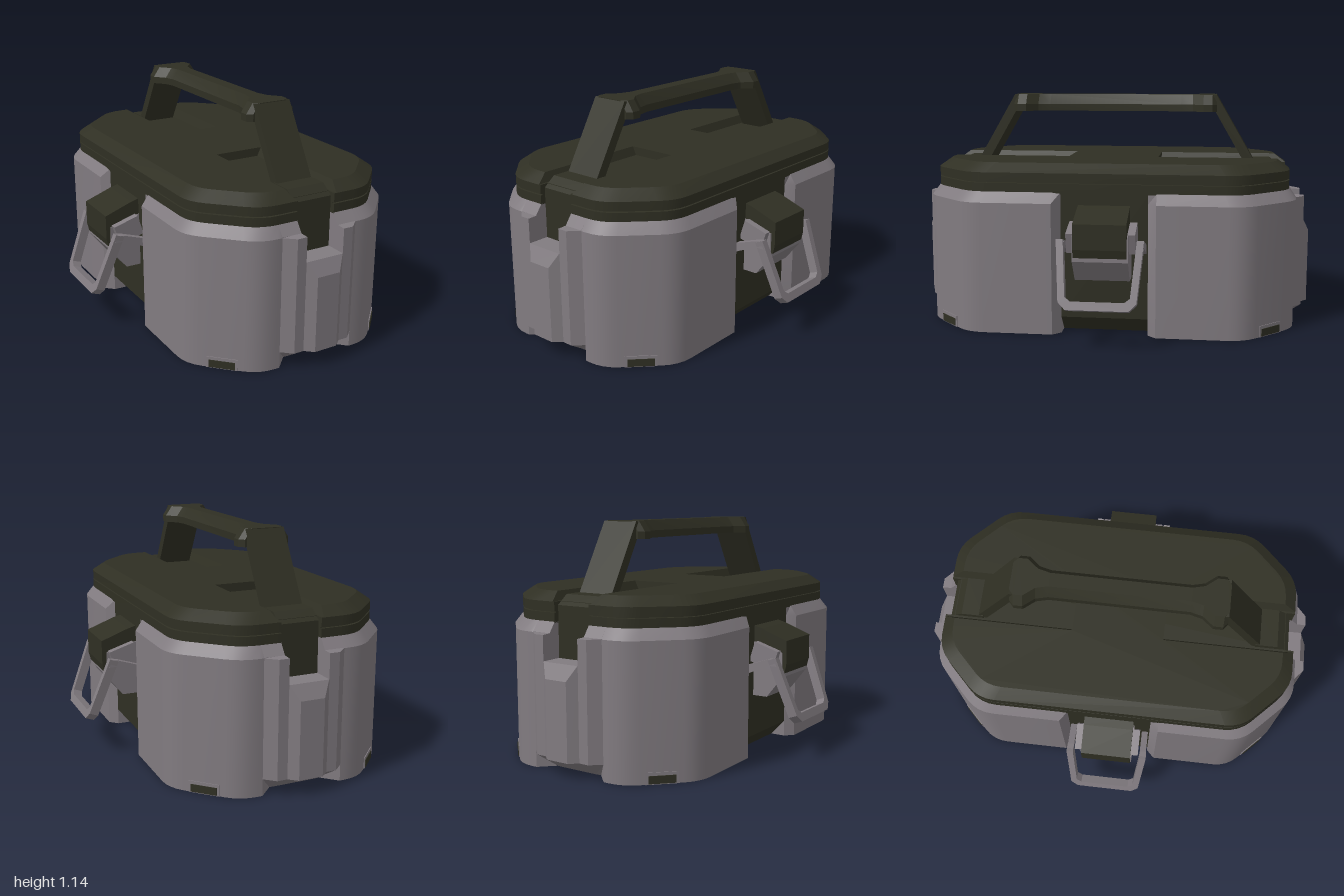
import * as THREE from 'three';
import { toCreasedNormals } from 'three/addons/utils/BufferGeometryUtils.js';

const grey = new THREE.MeshStandardMaterial({ color: 0x817b80 });
grey.name = 'warm grey';
const olive = new THREE.MeshStandardMaterial({ color: 0x2f2f23 });
olive.name = 'dark olive';

function add(parent, name, geometry, material) {
  const mesh = new THREE.Mesh(geometry, material);
  mesh.name = name;
  parent.add(mesh);
  return mesh;
}

// Joins matching [x, z] outlines stacked at the given heights, capped at both ends.
function loft(levels, crease = 0.5) {
  let rings = levels.map(([y, pts]) => pts.map(([x, z]) => new THREE.Vector3(x, y, z)));
  const flat = (ring) => ring.map((p) => new THREE.Vector2(p.x, -p.z));
  const largest = Math.max(...rings.map((r) => Math.abs(THREE.ShapeUtils.area(flat(r)))));
  const guide = rings.find((r) => Math.abs(THREE.ShapeUtils.area(flat(r))) === largest);
  if (THREE.ShapeUtils.area(flat(guide)) < 0) rings = rings.map((r) => [...r].reverse());
  const out = [];
  const tri = (...ps) => ps.forEach((p) => out.push(p.x, p.y, p.z));
  const n = rings[0].length;
  for (let i = 0; i < rings.length - 1; i++) {
    for (let j = 0; j < n; j++) {
      const k = (j + 1) % n;
      tri(rings[i][j], rings[i][k], rings[i + 1][k]);
      tri(rings[i][j], rings[i + 1][k], rings[i + 1][j]);
    }
  }
  const bottom = rings[0], top = rings[rings.length - 1];
  THREE.ShapeUtils.triangulateShape(flat(bottom), []).forEach(([a, b, c]) => tri(bottom[a], bottom[c], bottom[b]));
  THREE.ShapeUtils.triangulateShape(flat(top), []).forEach(([a, b, c]) => tri(top[a], top[b], top[c]));
  const geometry = new THREE.BufferGeometry();
  geometry.setAttribute('position', new THREE.Float32BufferAttribute(out, 3));
  return toCreasedNormals(geometry, crease);
}

// Softened octagon outline with optional notches in the ends and sides.
function outline(hx, hz, c, end = [], side = []) {
  const bend = (a, p, b) => new THREE.QuadraticBezierCurve(
    new THREE.Vector2(...a), new THREE.Vector2(...p), new THREE.Vector2(...b)
  ).getPoints(4).map((v) => [v.x, v.y]);
  const r = 0.08, d = r * Math.SQRT1_2;
  const quarter = [
    ...end,
    ...bend([hx - c - r, hz], [hx - c, hz], [hx - c + d, hz - d]),
    ...bend([hx - d, hz - c + d], [hx, hz - c], [hx, hz - c - r]),
    ...side,
  ];
  const flip = (sx, sz) => quarter.map(([x, z]) => [x * sx, z * sz]);
  return [...flip(1, 1), ...flip(1, -1).reverse(), ...flip(-1, -1), ...flip(-1, 1).reverse()];
}

// Centred extrusion of an [x, y] profile along z.
function extrudeZ(points, depth) {
  const shape = new THREE.Shape(points.map((p) => new THREE.Vector2(...p)));
  return new THREE.ExtrudeGeometry(shape, { depth, bevelEnabled: false, curveSegments: 4 }).translate(0, 0, -depth / 2);
}
// Centred extrusion of a [z, y] profile along x.
const extrudeX = (points, width) => extrudeZ(points, width).rotateY(-Math.PI / 2);

function makeEnd() {
  const end = new THREE.Group();
  // Stepped ribs on both sides of the channel
  for (const s of [-1, 1]) {
    const rib = (front, base, z0) => [[0.2, base], [0.15, front], [0.1, front], [0.1, z0], [0.13, z0]]
      .map(([x, z]) => [x * s, z]);
    add(end, 'endRib', loft([
      [0.08, rib(0.965, 0.92, 0.84)], [0.64, rib(0.965, 0.92, 0.84)],
      [0.642, rib(0.92, 0.92, 0.84)], [0.69, rib(0.885, 0.885, 0.84)],
    ], 0.2), grey);
  }
  // Hipped block filling the channel below the strap
  const block = (w, z) => [[0.1, 0.84], [0.1, 0.965], [w, z], [-w, z], [-0.1, 0.965], [-0.1, 0.84]];
  add(end, 'endBlock', loft([
    [0.08, block(0.06, 1)], [0.45, block(0.06, 1)], [0.52, block(0.098, 0.966)],
  ], 0.1), grey);
  // Undercut tapering into the body
  add(end, 'endUndercut', loft([
    [0, [[0.13, 0.84], [0.13, 0.85], [0.1, 0.852], [-0.1, 0.852], [-0.13, 0.85], [-0.13, 0.84]]],
    [0.08, [[0.13, 0.84], [0.2, 0.92], [0.15, 0.965], [-0.15, 0.965], [-0.2, 0.92], [-0.13, 0.84]]],
  ], 0.1), grey);
  // Strap folded over the lid edge
  add(end, 'lidStrap', extrudeX([
    [0.69, 0.77], [0.69, 0.81], [0.8, 0.81], [0.86, 0.765], [0.86, 0.515], [0.78, 0.515], [0.78, 0.77],
  ], 0.198), olive);
  // Sloping leg of the carrying handle
  add(end, 'handleLeg', extrudeX([
    [0.73, 0.78], [0.52, 1.14], [0.47, 1.13], [0.5, 1.056], [0.515, 1.056], [0.675, 0.78],
  ], 0.19), olive);
  return end;
}

function makeLatch() {
  const latch = new THREE.Group();
  add(latch, 'sidePanel', extrudeZ([[0.43, 0], [0.44, 0], [0.515, 0.08], [0.515, 0.69], [0.43, 0.69]], 0.43), olive);
  add(latch, 'latchCap', extrudeZ([
    [0.5, 0.635], [0.555, 0.62], [0.69, 0.57], [0.69, 0.45], [0.68, 0.41], [0.5, 0.41],
  ], 0.25), olive);
  add(latch, 'latchBracket', extrudeZ([
    [0.5, 0.555], [0.555, 0.545], [0.668, 0.51], [0.672, 0.39], [0.59, 0.285], [0.5, 0.285],
  ], 0.262), grey);
  // Wire bail hanging from short pivot arms
  for (const s of [-1, 1]) {
    const ear = add(latch, 'latchEar', new THREE.BoxGeometry(0.13, 0.1, 0.035), grey);
    ear.position.set(0.585, 0.49, s * 0.145);
    ear.rotation.z = -0.3;
    const arm = extrudeZ([[0.51, 0.4], [0.555, 0.42], [0.645, 0.455], [0.68, 0.455], [0.655, 0.49], [0.63, 0.485], [0.51, 0.445]], 0.032);
    add(latch, 'bailArm', arm, grey).position.z = s * 0.187;
  }
  const bail = add(latch, 'bail', extrudeX([
    [-0.205, 0], [-0.18, -0.29], [-0.145, -0.325], [0.145, -0.325], [0.18, -0.29], [0.205, 0],
    [0.172, 0], [0.15, -0.265], [0.125, -0.285], [-0.125, -0.285], [-0.15, -0.265], [-0.172, 0],
  ], 0.045), grey);
  bail.position.set(0.652, 0.488, 0);
  bail.rotation.z = 0.37;
  return latch;
}

export function createModel() {
  const model = new THREE.Group();
  model.name = 'carryCase';

  // Body with notched sides and ends and a bevelled shoulder
  const body = (hx, hz, c) => outline(hx, hz, c, [[0.13, 0.85], [0.2, hz]], [[hx, 0.25], [0.515, 0.21], [0.44, 0.21]]);
  add(model, 'body', loft([
    [0, body(0.555, 0.92, 0.25)], [0.64, body(0.555, 0.92, 0.25)], [0.69, body(0.52, 0.885, 0.235)],
  ]), grey);

  // Lid with a fine seam, a bevelled top and grooves under the handle
  const rim = (i) => outline(0.52 - i, 0.885 - i, 0.235, [[0.1, 0.84], [0.1, 0.885 - i]]);
  add(model, 'lidRim', loft([
    [0.685, rim(0)], [0.732, rim(0)], [0.733, rim(0.01)], [0.737, rim(0.01)], [0.738, rim(0)], [0.782, rim(0)],
  ]), olive);
  const cover = (i, c, w) => outline(0.52 - i, 0.885 - i, c, [[w, 0.23], [w, 0.885 - i]]);
  add(model, 'lidTop', loft([[0.782, cover(0, 0.235, 0.11)], [0.825, cover(0.058, 0.21, 0.13)]]), olive);

  // Handle grip: flared ends and a slim bevelled middle, lofted along z
  const half = [[0.34, 0.07], [0.4, 0.085], [0.455, 0.13], [0.5, 0.13], [0.522, 0.105]];
  const stations = [...half.map(([z, w]) => [-z, w]).reverse(), ...half];
  const grip = loft(stations.map(([z, w]) => [z, [
    [-w, -1.055], [w, -1.055], [w, -1.09], [w - 0.035, -1.14], [-w + 0.035, -1.14], [-w, -1.09],
  ]]), 0.3).rotateX(Math.PI / 2);
  add(model, 'handleGrip', grip, olive);

  // Matching ends and side latches
  [0, Math.PI].forEach((turn, i) => {
    const end = makeEnd();
    end.name = i ? 'backEnd' : 'frontEnd';
    end.rotation.y = turn;
    const latch = makeLatch();
    latch.name = i ? 'rightLatch' : 'leftLatch';
    latch.rotation.y = turn;
    model.add(end, latch);
  });

  // Small framed slots at the lower corners
  for (const sx of [-1, 1]) {
    for (const sz of [-1, 1]) {
      const slot = new THREE.Group();
      slot.name = 'cornerSlot';
      add(slot, 'slotFrame', new THREE.BoxGeometry(0.15, 0.055, 0.008), grey).position.y = 0.0275;
      add(slot, 'slotInsert', new THREE.BoxGeometry(0.125, 0.036, 0.009), olive).position.set(0, 0.022, 0.003);
      slot.position.set(sx * 0.43, 0, sz * 0.795);
      slot.rotation.y = Math.atan2(sx, sz);
      model.add(slot);
    }
  }
  return model;
}
